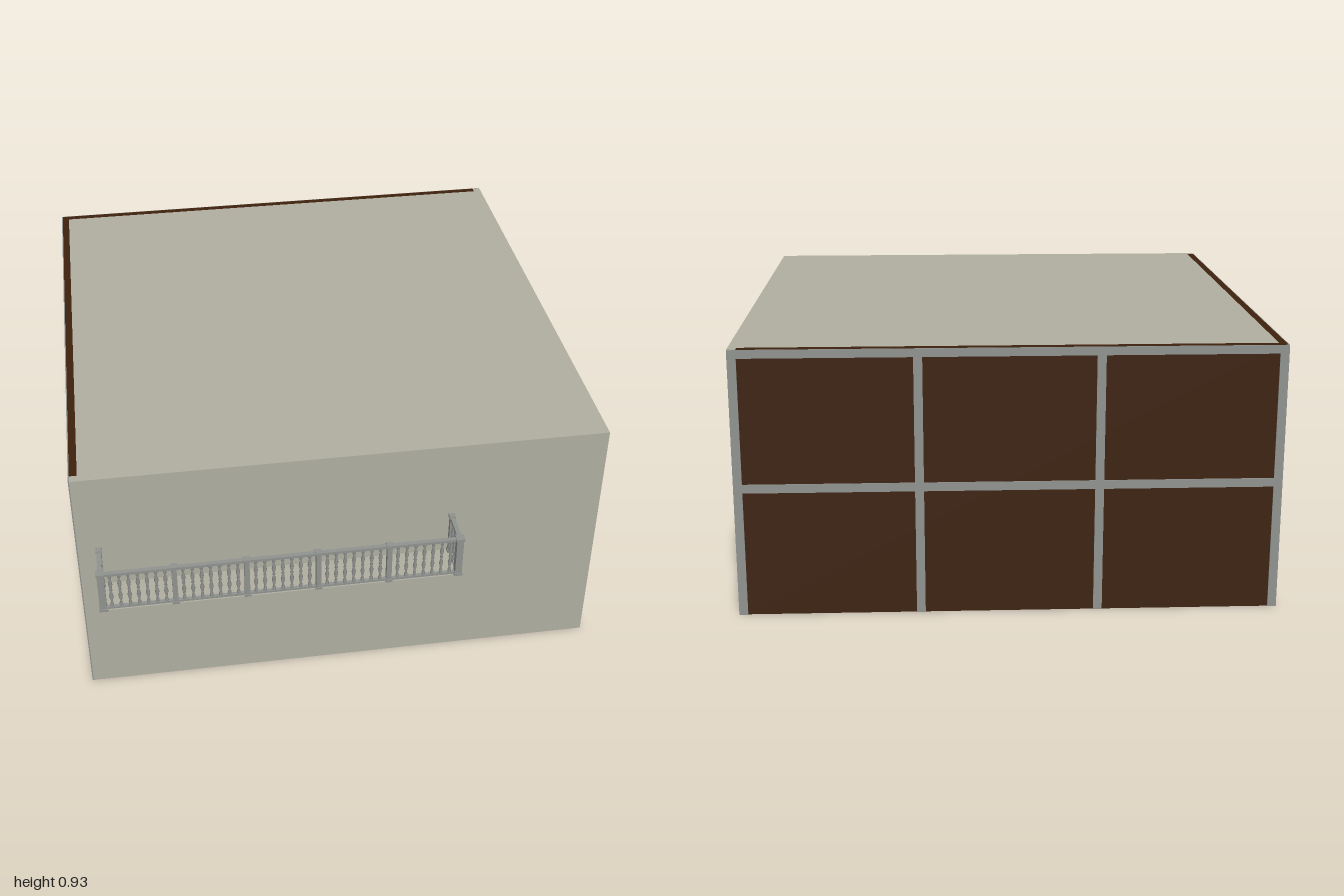
import * as THREE from 'three';

const mat = (name, color, extra = {}) => Object.assign(new THREE.MeshStandardMaterial({ color, ...extra }), { name });

export function createModel() {
  const plaster = mat('plaster', 0xafaea0);
  const brown = mat('brown panel', 0x3d210d);
  const grey = mat('grey frame', 0x8f928f);

  const model = new THREE.Group();
  model.name = 'roomWithBalcony';

  // Box given by its lower and upper limits on each axis
  const box = (parent, name, material, [x0, x1], [y0, y1], [z0, z1]) => {
    const mesh = new THREE.Mesh(new THREE.BoxGeometry(x1 - x0, y1 - y0, z1 - z0), material);
    mesh.position.set((x0 + x1) / 2, (y0 + y1) / 2, (z0 + z1) / 2);
    mesh.name = name;
    parent.add(mesh);
    return mesh;
  };

  const X = 0.925, H = 0.93, ZB = -1, ZF = 0.855, T = 0.03, P = 0.004;

  // Shell: open underneath, two plaster walls, two brown walls and a roof
  const shell = new THREE.Group();
  shell.name = 'shell';
  model.add(shell);
  box(shell, 'frontWall', plaster, [-X + P, X], [0, H], [ZF - T, ZF]);
  box(shell, 'sideWall', plaster, [X - T, X], [0, H], [ZB + P, ZF - T]);
  box(shell, 'roof', plaster, [-X + T, X - T], [H - T, H], [ZB + T, ZF - T]);
  box(shell, 'backPanelWall', brown, [-X + T, X - T], [0, H], [ZB + P, ZB + T]);
  box(shell, 'sidePanelWall', brown, [-X + P, -X + T], [0, H], [ZB + P, ZF - T]);

  // Grey grid of thin bars over the outside of each brown wall
  const frame = new THREE.Group();
  frame.name = 'panelFrame';
  model.add(frame);
  const grid = (name, lo, hi, place) => {
    const bar = (label, along, up) => place(`${name}${label}`, along, up);
    for (let i = 0; i < 4; i++) {
      const a = lo + ((hi - lo - T) * i) / 3;
      bar('Post', [a, a + T], [0, H - T]);
      if (i < 3) bar('MiddleRail', [a + T, lo + ((hi - lo - T) * (i + 1)) / 3], [0.437, 0.467]);
    }
    bar('TopRail', [lo, hi], [H - T, H - 0.001]);
  };
  grid('back', -X, X, (n, a, u) => box(frame, n, grey, a, u, [ZB, ZB + P]));
  grid('side', ZB + P, ZF, (n, a, u) => box(frame, n, grey, [-X, -X + P], u, a));

  // Balcony slab with a narrower lower step
  const balcony = new THREE.Group();
  balcony.name = 'balcony';
  model.add(balcony);
  const xl = -0.85, xr = 0.385, zr = 0.985, zw = 0.866;
  box(balcony, 'slab', plaster, [xl - 0.005, xr + 0.005], [0.455, 0.47], [ZF, 0.992]);
  box(balcony, 'slabStep', plaster, [xl + 0.002, xr - 0.002], [0.44, 0.455], [ZF, 0.985]);

  // Railing posts: shaft, base and cap
  const post = (x, z, w) => {
    const h = w / 2, c = h + 0.003;
    const zc = Math.min(z + c, 1);
    box(balcony, 'postShaft', grey, [x - h, x + h], [0.47, 0.628], [z - h, z + h]);
    box(balcony, 'postCap', grey, [x - c, x + c], [0.626, 0.636], [z - c, zc]);
    box(balcony, 'postBase', grey, [x - c, x + c], [0.47, 0.48], [z - c, zc]);
  };
  for (let i = 0; i <= 5; i++) post(xl + ((xr - xl) * i) / 5, zr, i % 5 ? 0.018 : 0.024);
  for (const x of [xl, xr]) post(x, zw, 0.016);

  // Handrails and bottom rails
  for (const [name, y0, y1, w] of [['handrail', 0.622, 0.632, 0.008], ['bottomRail', 0.474, 0.482, 0.006]]) {
    box(balcony, name, grey, [xl, xr], [y0, y1], [zr - w, zr + w]);
    for (const x of [xl, xr]) box(balcony, name, grey, [x - w, x + w], [y0, y1], [zw, zr]);
  }

  // Turned balusters
  const profile = [
    [0.006, 0], [0.006, 0.012], [0.003, 0.02], [0.0075, 0.046], [0.0035, 0.066], [0.006, 0.072],
    [0.0035, 0.078], [0.0075, 0.098], [0.003, 0.122], [0.006, 0.13], [0.006, 0.142],
  ].map(([r, y]) => new THREE.Vector2(r, y));
  const turned = new THREE.LatheGeometry(profile, 8);
  const baluster = (x, z) => {
    const mesh = new THREE.Mesh(turned, grey);
    mesh.name = 'baluster';
    mesh.position.set(x, 0.481, z);
    balcony.add(mesh);
  };
  const bay = (xr - xl) / 5;
  for (let i = 0; i < 5; i++)
    for (let j = -3; j <= 3; j++) baluster(xl + bay * (i + 0.5) + j * 0.031, zr);
  for (const x of [xl, xr])
    for (let j = -1; j <= 1; j++) baluster(x, (zw + zr) / 2 - 0.002 + j * 0.033);

  return model;
}
